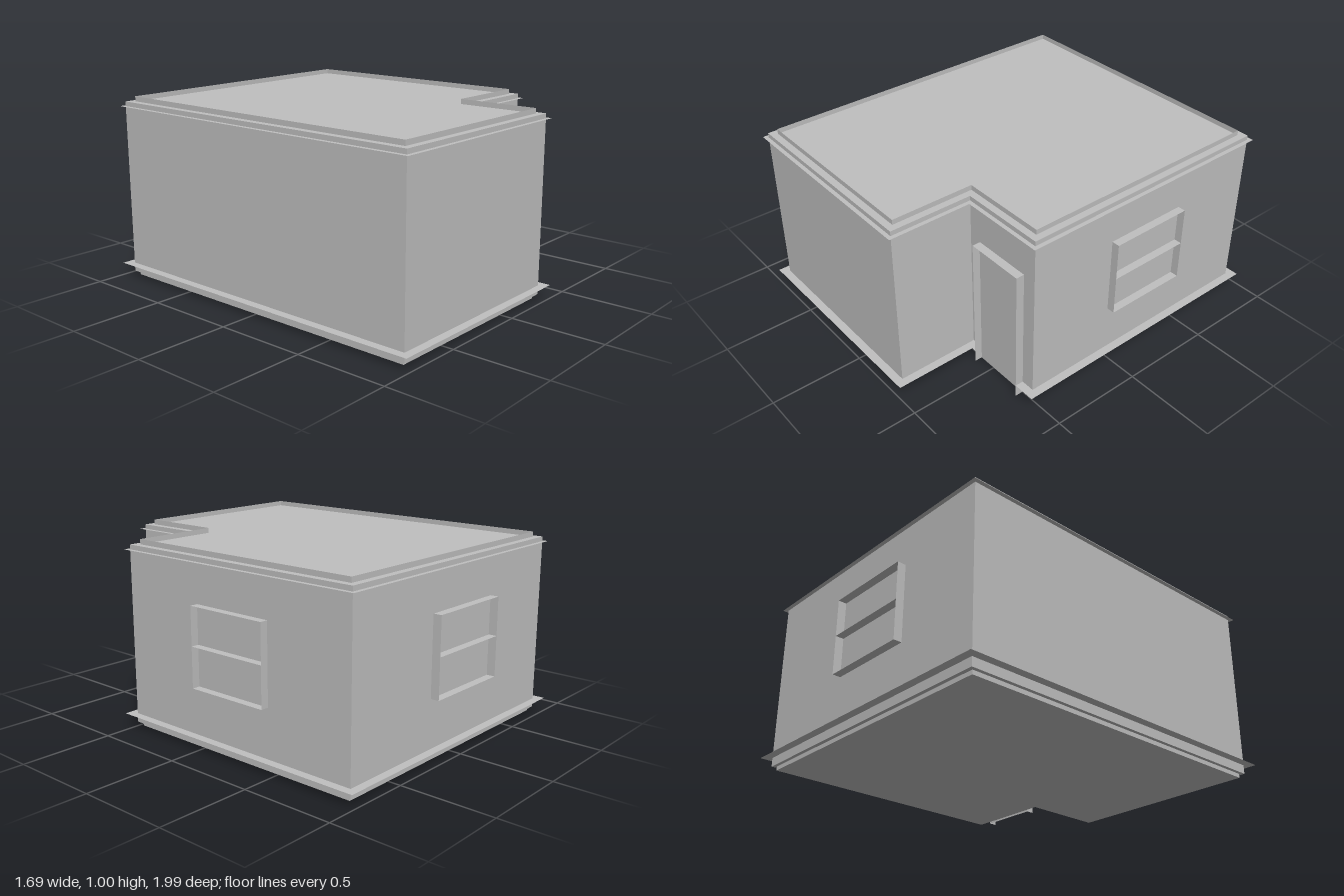
import * as THREE from 'three';

const grey = new THREE.MeshStandardMaterial({ color: 0xbfbfbf, side: THREE.DoubleSide });
grey.name = 'grey plaster';

// L-shaped footprint as [x, z] corners, grown outward by d
function footprint(d) {
  return [
    [-0.8 - d, -0.95 - d], [0.8 + d, -0.95 - d], [0.8 + d, 0.5 + d],
    [0.33 + d, 0.5 + d], [0.33 + d, 0.95 + d], [-0.8 - d, 0.95 + d],
  ];
}

const toVectors = (points) => points.map(([x, z]) => new THREE.Vector2(x, -z));

function add(parent, name, geometry, x = 0, y = 0, z = 0) {
  const mesh = new THREE.Mesh(geometry, grey);
  mesh.name = name;
  mesh.position.set(x, y, z);
  parent.add(mesh);
  return mesh;
}

// Solid block over the footprint
function prism(d, height) {
  const shape = new THREE.Shape(toVectors(footprint(d)));
  return new THREE.ExtrudeGeometry(shape, { depth: height, bevelEnabled: false }).rotateX(-Math.PI / 2);
}

// Flat ledge around the walls, with an optional gap for the door
function ledge(d, doorGap) {
  const points = footprint(d);
  if (doorGap) {
    points.splice(3, 0, [0.725, 0.5 + d], [0.725, 0.499], [0.4, 0.499], [0.4, 0.5 + d]);
  }
  const shape = new THREE.Shape(toVectors(points));
  shape.holes.push(new THREE.Path(toVectors(footprint(-0.02))));
  return new THREE.ShapeGeometry(shape).rotateX(-Math.PI / 2);
}

// Thin sheets projecting from a wall: two jambs plus horizontal bars
function frame(name, width, bottom, top, depth, bars) {
  const group = new THREE.Group();
  group.name = name;
  for (const side of [-1, 1]) {
    const jamb = new THREE.PlaneGeometry(depth, top - bottom).rotateY(side * Math.PI / 2);
    add(group, 'jamb', jamb, side * width / 2, (top + bottom) / 2, depth / 2);
  }
  for (const y of bars) {
    const bar = new THREE.PlaneGeometry(width, depth).rotateX(-Math.PI / 2);
    add(group, 'bar', bar, 0, y, depth / 2);
  }
  return group;
}

export function createModel() {
  const house = new THREE.Group();
  house.name = 'house';

  // Base, walls and flat roof
  add(house, 'base', prism(-0.02, 0.025));
  add(house, 'walls', prism(0, 0.953), 0, 0.022, 0);

  // Skirting and cornice ledges
  add(house, 'skirtingLedge', ledge(0.045, true), 0, 0.07, 0);
  add(house, 'corniceLedge', ledge(0.022, false), 0, 0.95, 0);

  // Low parapet standing just inside the roof edge
  const parapet = new THREE.Group();
  parapet.name = 'parapet';
  const rim = footprint(-0.037);
  rim.forEach(([x0, z0], i) => {
    const [x1, z1] = rim[(i + 1) % rim.length];
    const length = Math.hypot(x1 - x0, z1 - z0);
    const sheet = new THREE.PlaneGeometry(length, 0.03);
    const mesh = add(parapet, 'parapetSide', sheet, (x0 + x1) / 2, 0.987, (z0 + z1) / 2);
    mesh.rotation.y = Math.atan2(z1 - z0, -(x1 - x0));
  });
  house.add(parapet);

  // Door in the notch
  const door = frame('door', 0.325, 0, 0.745, 0.045, [0.745]);
  add(door, 'doorPanel', new THREE.PlaneGeometry(0.325, 0.745), 0, 0.3725, 0.003);
  door.position.set(0.5625, 0, 0.5);
  house.add(door);

  // Windows on the side and back walls
  const sideWindow = frame('sideWindow', 0.465, 0.327, 0.743, 0.043, [0.327, 0.54, 0.743]);
  sideWindow.position.set(0.8, 0, -0.225);
  sideWindow.rotation.y = Math.PI / 2;
  house.add(sideWindow);

  const backWindow = frame('backWindow', 0.5, 0.327, 0.743, 0.045, [0.327, 0.54, 0.743]);
  backWindow.position.set(-0.047, 0, -0.95);
  backWindow.rotation.y = Math.PI;
  house.add(backWindow);

  return house;
}
